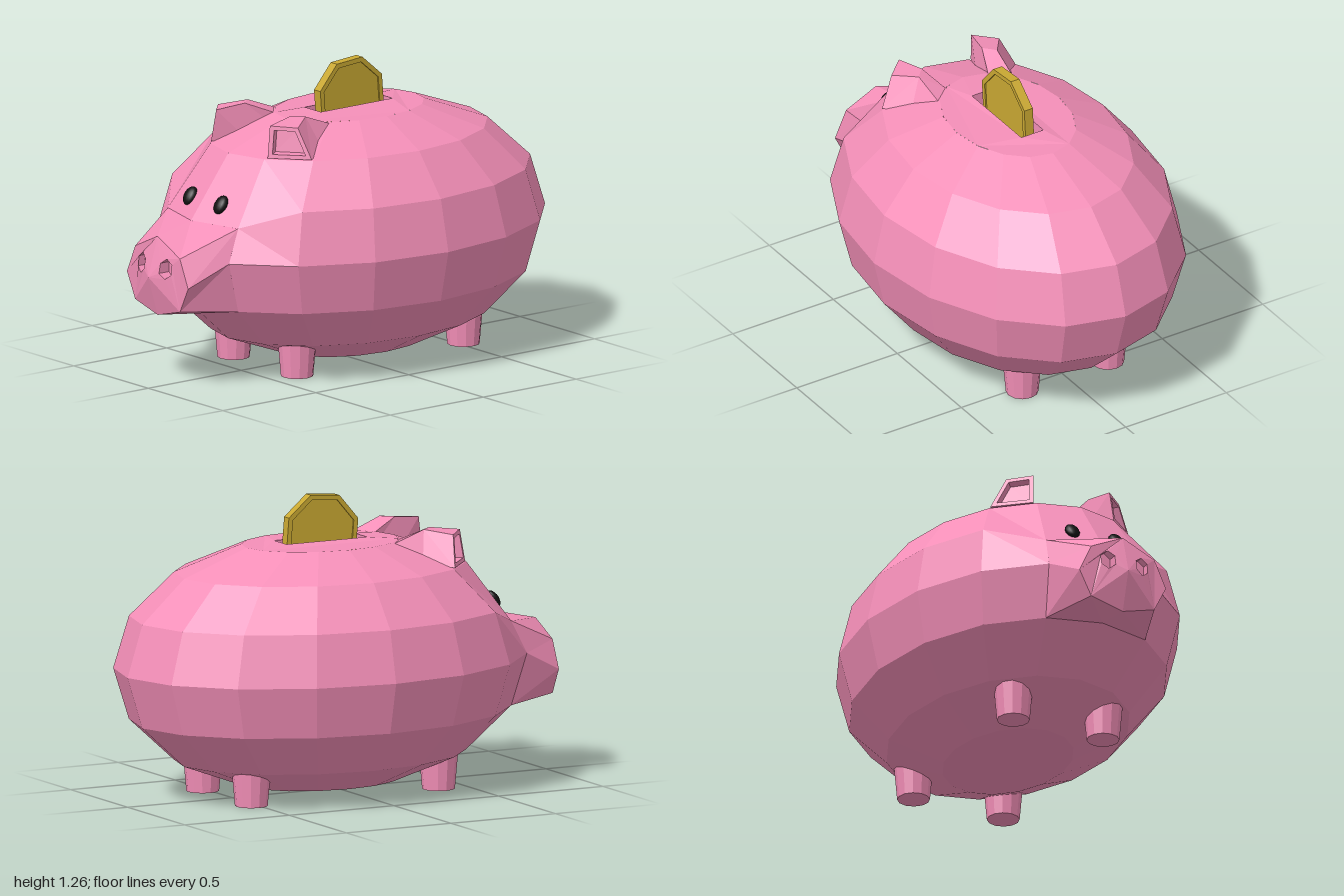
import * as THREE from 'three';

const mat = (color, side = THREE.FrontSide, flatShading = true) =>
  new THREE.MeshStandardMaterial({ color, side, flatShading });
const PINK = 0xf48fb8;
const pink = mat(PINK), pinkThin = mat(PINK, THREE.DoubleSide), pinkInside = mat(PINK, THREE.BackSide);
const gold = mat(0xc9a832), black = mat(0x111111, THREE.FrontSide, false);
const CX = 0.08; // centre of the barrel

function add(parent, name, geometry, material, x = 0, y = 0, z = 0) {
  const m = new THREE.Mesh(geometry, material);
  m.name = name;
  m.position.set(x, y, z);
  parent.add(m);
  return m;
}

// Skin between closed cross-sections, with optional flat end caps
function loft(sections, capStart = false, capEnd = false) {
  const n = sections[0].length, idx = [];
  for (let s = 0; s < sections.length - 1; s++)
    for (let i = 0; i < n; i++) {
      const a = s * n + i, b = s * n + (i + 1) % n;
      idx.push(a, b, b + n, a, b + n, a + n);
    }
  const last = (sections.length - 1) * n;
  for (let i = 1; i < n - 1; i++) {
    if (capStart) idx.push(0, i + 1, i);
    if (capEnd) idx.push(last, last + i, last + i + 1);
  }
  const g = new THREE.BufferGeometry();
  g.setAttribute('position', new THREE.Float32BufferAttribute(sections.flat(2), 3));
  g.setIndex(idx);
  g.computeVertexNormals();
  return g;
}

// Barrel: sixteen-sided egg, pulled down where the snout meets the face
function addBody(group) {
  const profile = [[0, 0.025], [0.35, 0.04], [0.65, 0.15], [0.85, 0.33], [0.92, 0.55],
    [0.85, 0.77], [0.65, 0.95], [0.352, 1.058]].map(p => new THREE.Vector2(...p));
  const body = new THREE.LatheGeometry(profile, 16);
  body.scale(1, 1, 0.725);
  body.translate(CX, 0, 0);
  const p = body.attributes.position;
  for (let i = 0; i < p.count; i++)
    if (p.getX(i) < -0.68 && Math.abs(p.getY(i) - 0.77) < 0.01) p.setY(i, 0.69);
  body.computeVertexNormals();
  add(group, 'body', body, pink);

  // Top panel with the coin slot cut through it
  const ring = [];
  for (let i = 0; i < 16; i++) {
    const a = i * Math.PI / 8;
    ring.push(new THREE.Vector2(CX + 0.352 * Math.cos(a), 0.255 * Math.sin(a)));
  }
  const top = new THREE.Shape(ring);
  top.holes.push(new THREE.Path([[-0.115, -0.055], [-0.115, 0.055], [0.27, 0.055], [0.27, -0.055]]
    .map(q => new THREE.Vector2(...q))));
  const panel = new THREE.ShapeGeometry(top);
  panel.rotateX(-Math.PI / 2);
  const q = panel.attributes.position;
  for (let i = 0; i < q.count; i++)
    q.setY(i, Math.hypot((q.getX(i) - CX) / 0.352, q.getZ(i) / 0.255) > 0.95 ? 1.058 : 1.068);
  panel.computeVertexNormals();
  add(group, 'topPanel', panel, pink);
  add(group, 'coinSlot', new THREE.BoxGeometry(0.385, 0.15, 0.11), pinkInside, 0.0775, 0.993, 0);
}

// Snout: eight-sided loft ending in a shallow pointed disc with two nostrils
function addSnout(group) {
  const half = [[0.65, 0], [0.58, 0.15], [0.46, 0.205], [0.35, 0.15], [0.31, 0]];
  const base = [[-0.77, 0.69, 0], [-0.705, 0.69, 0.236], [-0.77, 0.55, 0.255],
    [-0.705, 0.33, 0.236], [-0.77, 0.33, 0]];
  const around = h => [...h, ...h.slice(1, -1).reverse().map(([x, y, z]) => [x, y, -z])];
  add(group, 'snout', loft([around(base), around(half.map(([y, z]) => [-0.95, y, z]))]), pinkThin);

  const depth = (y, z) => -1 + 0.05 * Math.min(1, Math.hypot(y - 0.48, z) / 0.165);
  for (const s of [-1, 1]) {
    const side = s > 0 ? 'left' : 'right';
    const hole = [];
    for (let i = 0; i < 6; i++) {
      const a = (i + 0.5) * Math.PI / 3;
      hole.push([s * (0.08 + 0.034 * Math.cos(a)), 0.525 + 0.043 * Math.sin(a)]);
    }
    const v = ([a, b]) => new THREE.Vector2(a, b);
    const disc = new THREE.Shape([...half.map(([y, z]) => v([s * z, y])), v([0, 0.48])]);
    disc.holes.push(new THREE.Path(hole.map(v)));
    const g = new THREE.ShapeGeometry(disc);
    const p = g.attributes.position;
    for (let i = 0; i < p.count; i++) {
      const z = p.getX(i), y = p.getY(i);
      p.setXYZ(i, depth(y, z), y, z);
    }
    // Turn the faces towards the nose tip
    g.setIndex(Array.from(g.index.array).reverse());
    g.computeVertexNormals();
    add(group, side + 'NoseDisc', g, pinkThin);
    add(group, side + 'Nostril', loft([hole.map(([z, y]) => [depth(y, z), y, z]),
      hole.map(([z, y]) => [-0.93, y, z])], false, true), pinkThin);
  }
}

// Ear: wedge growing out of the back, with a hollow opening facing forward
function addEar(group, s) {
  const front = [[-0.51, 0.955, 0.19], [-0.385, 0.955, 0.33], [-0.41, 1.085, 0.268], [-0.49, 1.09, 0.18]];
  const mid = [[-0.38, 0.97, 0.135], [-0.27, 0.97, 0.26], [-0.31, 1.105, 0.195], [-0.36, 1.105, 0.15]];
  const back = [[-0.24, 1.0, 0.105], [-0.17, 1.0, 0.185], [-0.17, 1.052, 0.185], [-0.24, 1.055, 0.105]];
  const centre = [0, 1, 2].map(k => front.reduce((t, p) => t + p[k] / 4, 0));
  const inset = front.map(p => p.map((c, k) => c + (centre[k] - c) * 0.25));
  const floor = inset.map(([x, y, z]) => [x + 0.04, y, z - 0.03]);
  const sections = [floor, inset, front, mid, back].map(r => r.map(([x, y, z]) => [x, y, s * z]));
  add(group, s > 0 ? 'leftEar' : 'rightEar', loft(sections, true, true), pinkThin);
}

// Coin: octagon with a raised rim, standing in the slot
function addCoin(group) {
  const coin = new THREE.Group();
  coin.name = 'coin';
  coin.position.set(CX, 1.09, 0);
  const octagon = r => Array.from({ length: 8 }, (_, i) => {
    const a = (27 + 45 * i) * Math.PI / 180;
    return new THREE.Vector2(r * Math.cos(a), r * Math.sin(a));
  });
  const slab = (shape, d) => new THREE.ExtrudeGeometry(shape, { depth: d, bevelEnabled: false }).translate(0, 0, -d / 2);
  const rim = new THREE.Shape(octagon(0.18));
  rim.holes.push(new THREE.Path(octagon(0.158)));
  add(coin, 'coinRim', slab(rim, 0.042), gold);
  add(coin, 'coinFace', slab(new THREE.Shape(octagon(0.16)), 0.03), gold);
  group.add(coin);
}

export function createModel() {
  const pig = new THREE.Group();
  pig.name = 'piggyBank';
  addBody(pig);
  addSnout(pig);
  addCoin(pig);
  for (const s of [-1, 1]) {
    const side = s > 0 ? 'left' : 'right';
    addEar(pig, s);
    // Eye: flattened bead lying on the sloping face
    const eye = add(pig, side + 'Eye', new THREE.SphereGeometry(1, 16, 12), black, -0.692, 0.765, s * 0.103);
    eye.scale.set(0.022, 0.042, 0.032);
    eye.rotation.z = -0.6;
    // Legs: short tapered pegs
    for (const [name, x] of [['FrontLeg', -0.37], ['BackLeg', 0.525]])
      add(pig, side + name, new THREE.CylinderGeometry(0.083, 0.069, 0.16, 12), pink, x, 0.08, s * 0.213);
  }
  return pig;
}
